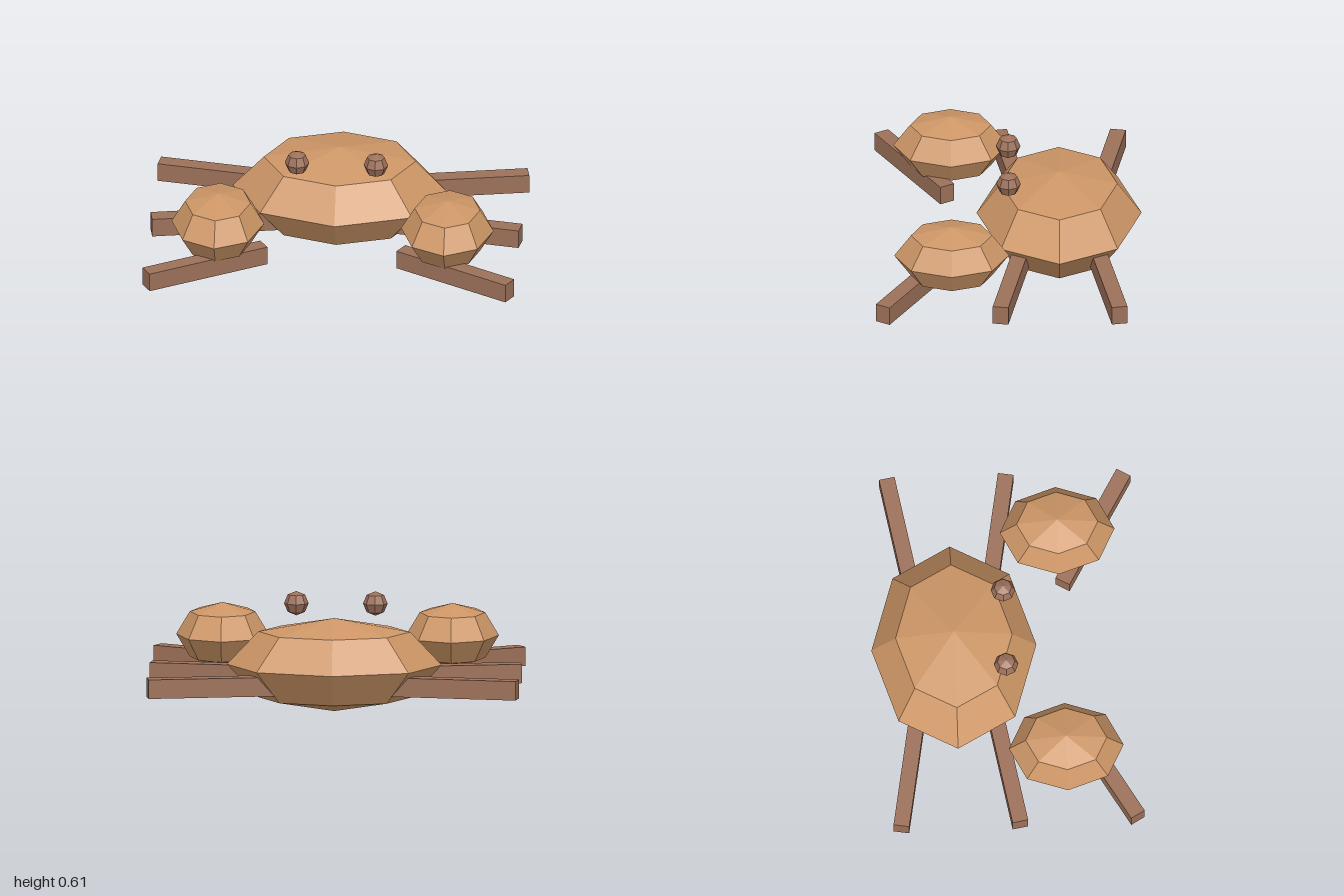
import * as THREE from 'three';

const shellMat = new THREE.MeshStandardMaterial({ color: 0xcd9666, flatShading: true });
shellMat.name = 'sandy shell';
const limbMat = new THREE.MeshStandardMaterial({ color: 0x9c7059, flatShading: true });
limbMat.name = 'brown limb';

// Low-poly ellipsoid given its centre and radii
function ellipsoid(name, mat, centre, radii) {
  const mesh = new THREE.Mesh(new THREE.SphereGeometry(1, 8, 4).scale(...radii), mat);
  mesh.name = name;
  mesh.position.set(...centre);
  return mesh;
}

// Straight leg; positive angle sweeps its outer end backwards
function leg(name, side, x, z, degrees) {
  const mesh = new THREE.Mesh(new THREE.BoxGeometry(0.703, 0.103, 0.085), limbMat);
  mesh.name = name;
  mesh.position.set(side * x, 0.167, z);
  mesh.rotation.y = side * THREE.MathUtils.degToRad(degrees);
  return mesh;
}

export function createModel() {
  const crab = new THREE.Group();
  crab.name = 'crab';

  // Body shell
  crab.add(ellipsoid('body', shellMat, [0, 0.253, -0.272], [0.577, 0.252, 0.443]));

  // Paired parts
  for (const side of [1, -1]) {
    const label = side > 0 ? 'left' : 'right';
    crab.add(
      ellipsoid(label + 'Claw', shellMat, [side * 0.617, 0.331, 0.307], [0.249, 0.173, 0.308]),
      ellipsoid(label + 'Eye', limbMat, [side * 0.212, 0.545, 0], [0.066, 0.066, 0.066]),
      leg(label + 'FrontLeg', side, 0.673, 0.502, -30),
      leg(label + 'MiddleLeg', side, 0.646, -0.015, -10),
      leg(label + 'BackLeg', side, 0.646, -0.532, 10)
    );
  }
  return crab;
}
